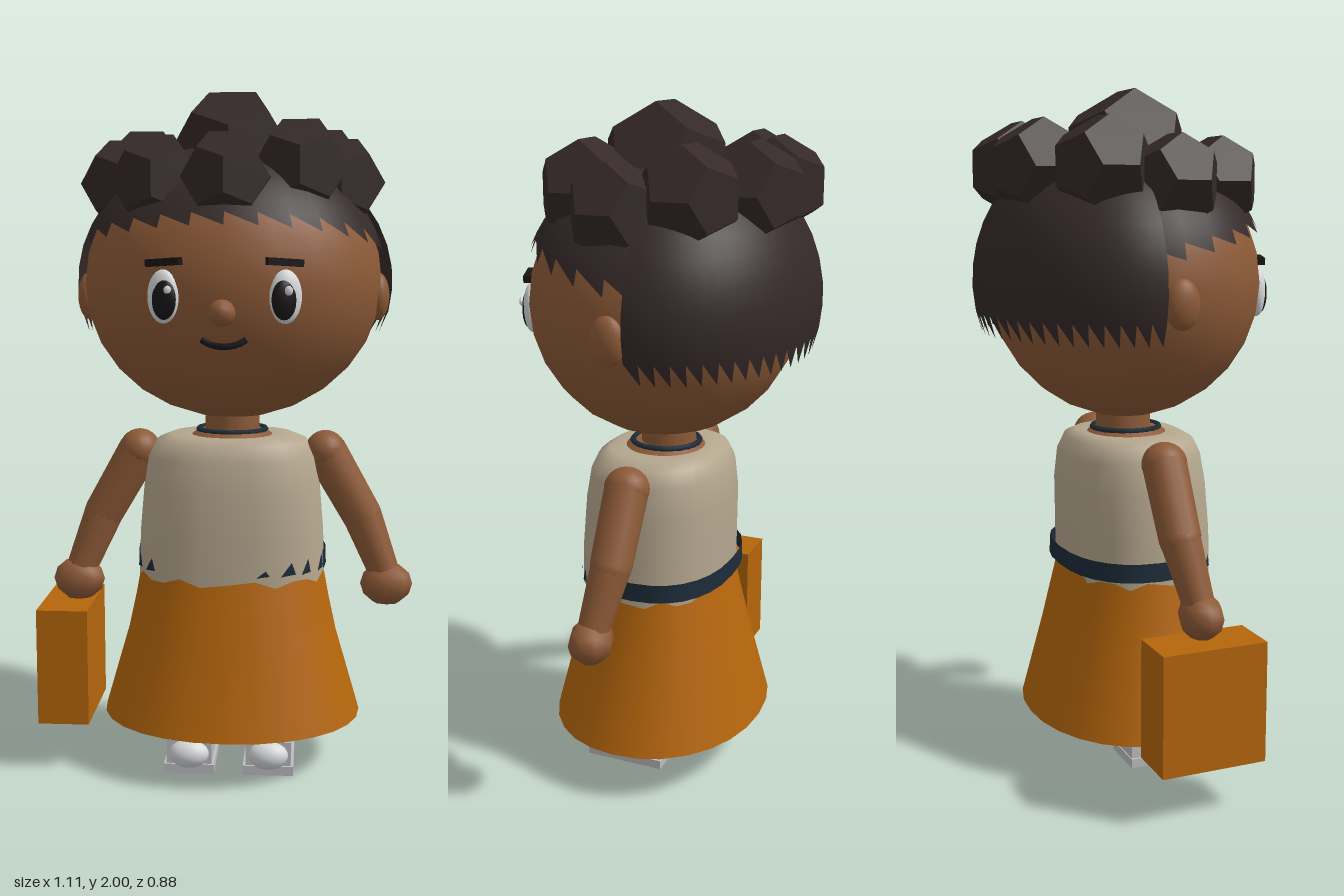
import * as THREE from 'three';

const mat = (name, color, side = THREE.FrontSide) => {
  const m = new THREE.MeshStandardMaterial({ color, side });
  m.name = name;
  return m;
};

// Stack of squarish rings [y, rx, rz, cz], listed from top to bottom
function loft(rings, power = 2, seg = 28, jag = 0) {
  const g = new THREE.CylinderGeometry(1, 1, 1, seg, rings.length - 1, true, Math.PI);
  const p = g.attributes.position;
  const e = 2 / power;
  for (let i = 0; i < p.count; i++) {
    const row = Math.floor(i / (seg + 1));
    const col = i % (seg + 1);
    const [y, rx, rz, cz] = rings[row];
    const x = p.getX(i), z = p.getZ(i);
    const dy = row === rings.length - 1 ? jag * Math.sin(col * 2.244) : 0;
    p.setXYZ(i, rx * Math.sign(x) * Math.abs(x) ** e, y + dy, cz + rz * Math.sign(z) * Math.abs(z) ** e);
  }
  g.computeVertexNormals();
  // Join the normals across the back seam
  const n = g.attributes.normal;
  for (let r = 0; r < rings.length; r++) {
    const a = r * (seg + 1), b = a + seg;
    const v = new THREE.Vector3().fromBufferAttribute(n, a).add(new THREE.Vector3().fromBufferAttribute(n, b)).normalize();
    n.setXYZ(a, v.x, v.y, v.z);
    n.setXYZ(b, v.x, v.y, v.z);
  }
  return g;
}

// Ellipsoid dome cut off below the plane y = a + b * z (measured from its centre)
function dome(rx, ry, rz, a, b, phiStart, phiLength) {
  const w = 28, h = 12;
  const g = new THREE.SphereGeometry(1, w, h, phiStart, phiLength);
  const p = g.attributes.position, n = g.attributes.normal;
  for (let i = 0; i < p.count; i++) {
    const phi = phiStart + phiLength * (i % (w + 1)) / w;
    const B = -b * rz * Math.sin(phi);
    const end = Math.atan2(B, ry) + Math.acos(a / Math.hypot(ry, B));
    const t = end * Math.floor(i / (w + 1)) / h;
    const v = [-Math.cos(phi) * Math.sin(t), Math.cos(t), Math.sin(phi) * Math.sin(t)];
    p.setXYZ(i, ...v);
    n.setXYZ(i, ...v);
  }
  return g.scale(rx, ry, rz);
}

export function createModel() {
  const skin = mat('skin brown', 0x8d5a37);
  const hair = mat('hair dark brown', 0x352929, THREE.DoubleSide);
  const cream = mat('shirt cream', 0xb5a78f, THREE.DoubleSide);
  const orange = mat('skirt orange', 0xb5660c, THREE.DoubleSide);
  const navy = mat('belt navy', 0x1d2c39, THREE.DoubleSide);
  const white = mat('eye white', 0xd6d8da);
  const grey = mat('shoe grey', 0xbdbdc2);
  const black = mat('pupil black', 0x1a1517);

  const model = new THREE.Group();
  const body = new THREE.Group();
  body.name = 'figure';
  body.position.x = 0.01;
  model.add(body);

  const add = (name, geo, material, pos = [0, 0, 0], scale = [1, 1, 1], rot = [0, 0, 0]) => {
    const m = new THREE.Mesh(geo, material);
    m.name = name;
    m.position.set(...pos);
    m.scale.set(...scale);
    m.rotation.set(...rot);
    body.add(m);
    return m;
  };
  const ball = new THREE.SphereGeometry(1, 20, 14);
  const limb = (name, a, b, ra, rb) => {
    const A = new THREE.Vector3(...a), B = new THREE.Vector3(...b);
    const m = add(name, new THREE.CylinderGeometry(rb, ra, A.distanceTo(B), 14), skin);
    m.position.copy(A).lerp(B, 0.5);
    m.quaternion.setFromUnitVectors(new THREE.Vector3(0, 1, 0), B.sub(A).normalize());
  };

  // Head
  const cy = 1.45;
  add('head', ball, skin, [0, cy, 0], [0.44, 0.4, 0.392]);
  add('nose', new THREE.SphereGeometry(0.037, 10, 8), skin, [-0.003, 1.378, 0.405]);
  const lips = new THREE.CatmullRomCurve3([
    [-0.06, 1.305, 0.368], [-0.035, 1.292, 0.374], [0, 1.287, 0.378], [0.035, 1.292, 0.374], [0.06, 1.305, 0.368],
  ].map(v => new THREE.Vector3(...v)));
  add('mouth', new THREE.TubeGeometry(lips, 12, 0.01, 6), black);
  for (const s of [-1, 1]) {
    add('ear', ball, skin, [s * 0.43, 1.41, -0.005], [0.033, 0.07, 0.05]);
    add('eye', ball, white, [s * 0.165, 1.42, 0.358], [0.046, 0.073, 0.026], [0, s * 0.35, 0]);
    add('pupil', ball, black, [s * 0.162, 1.413, 0.373], [0.036, 0.055, 0.018], [0, s * 0.35, 0]);
    add('eyeGlint', ball, white, [s * 0.162 + 0.012, 1.437, 0.388], [0.011, 0.013, 0.006]);
    add('eyebrow', new THREE.BoxGeometry(0.1, 0.02, 0.03), black, [s * 0.162, 1.512, 0.362], [1, 1, 1], [0, s * 0.36, -s * 0.06]);
  }

  // Hair: cap with a sloping hairline, longer back and faceted curls
  add('hairCap', dome(0.452, 0.41, 0.415, 0.077, 0.217, 0, Math.PI * 2), hair, [0, cy, 0]);
  add('hairBack', dome(0.475, 0.41, 0.372, -0.15, 0, Math.PI, Math.PI), hair, [0, cy, -0.065]);
  const curls = [
    [0, 1.82, 0.01, 0.19],
    [-0.095, 1.772, -0.29, 0.143], [0.1, 1.772, -0.29, 0.143],
    [-0.275, 1.772, -0.17, 0.143], [0.27, 1.772, -0.17, 0.143],
    [-0.31, 1.735, 0.025, 0.135], [0.315, 1.735, 0.025, 0.135],
    [-0.2, 1.735, 0.2, 0.135], [0.2, 1.772, 0.155, 0.143],
    [0, 1.74, 0.28, 0.13],
  ];
  for (const [x, y, z, r] of curls) {
    // The built-in dodecahedron is already faceted
    add('curl', new THREE.DodecahedronGeometry(r), hair, [x, y, z]);
  }

  // Neck and necklace
  add('neck', new THREE.CylinderGeometry(0.08, 0.085, 0.2, 18), skin, [0, 1.0, 0]);
  add('neckBase', new THREE.CylinderGeometry(0.1, 0.14, 0.03, 20), skin, [0, 1.0, 0.01]);
  add('necklace', new THREE.TorusGeometry(0.1, 0.009, 6, 24), navy, [0, 1.014, 0.008], [1, 1, 1], [Math.PI / 2, 0, 0]);

  // Shirt, belt and skirt
  add('shirt', loft([
    [1.0, 0.12, 0.1, 0.01], [1.003, 0.18, 0.15, 0.015], [0.985, 0.225, 0.18, 0.015], [0.94, 0.25, 0.2, 0.015],
    [0.85, 0.264, 0.212, 0.018], [0.72, 0.275, 0.215, 0.024], [0.59, 0.28, 0.215, 0.026],
  ], 2.4, 28, 0.012), cream);
  add('belt', loft([[0.66, 0.283, 0.208, 0.002], [0.605, 0.285, 0.21, 0.002]], 2.4), navy);
  add('skirt', loft([
    [0.605, 0.275, 0.206, 0.015], [0.5, 0.295, 0.232, 0.015], [0.4, 0.317, 0.256, 0.015], [0.15, 0.39, 0.32, 0.015],
  ], 2.1), orange);

  // Small torn patches of navy along the front hem: [angle, half angle, height]
  const onHem = (a, y) => {
    const f = t => Math.sign(t) * Math.abs(t) ** (2 / 2.4);
    return [0.284 * f(Math.sin(a)), y, 0.026 + 0.219 * f(Math.cos(a))];
  };
  const tri = [];
  for (const [a, h, up] of [[-1.2, 0.09, 0.045], [-0.9, 0.1, 0.04], [0.3, 0.07, 0.02], [0.6, 0.1, 0.04], [0.87, 0.08, 0.045], [1.2, 0.08, 0.05]]) {
    tri.push(...onHem(a - h, 0.612), ...onHem(a + h, 0.616), ...onHem(a + h * 0.4, 0.612 + up));
  }
  const patches = new THREE.BufferGeometry();
  patches.setAttribute('position', new THREE.Float32BufferAttribute(tri, 3));
  patches.computeVertexNormals();
  add('hemPatches', patches, navy);

  // Arms, legs and shoes
  for (const s of [-1, 1]) {
    const shoulder = [s * 0.28, 0.95, 0.012], elbow = [s * 0.392, 0.755, 0.012], wrist = [s * 0.46, 0.585, 0.038];
    add('shoulder', ball, skin, shoulder, [0.062, 0.062, 0.066]);
    limb('upperArm', shoulder, elbow, 0.064, 0.06);
    add('elbow', ball, skin, elbow, [0.059, 0.059, 0.059]);
    limb('forearm', elbow, wrist, 0.059, 0.046);
    add('hand', new THREE.SphereGeometry(1, 8, 6), skin, [s * 0.466, 0.553, 0.042], [0.078, 0.066, 0.064]);

    const x = s * 0.118;
    add('leg', new THREE.CylinderGeometry(0.07, 0.064, 0.5, 16), skin, [x, 0.3, 0.015]);
    add('shoe', new THREE.BoxGeometry(0.135, 0.075, 0.235), grey, [x, 0.0625, 0.07]);
    add('shoeSole', new THREE.BoxGeometry(0.15, 0.028, 0.245), grey, [x, 0.014, 0.072]);
    add('toeCap', ball, white, [x, 0.06, 0.185], [0.06, 0.043, 0.043]);
  }

  // Bag carried at the right hand
  add('bag', new THREE.BoxGeometry(0.152, 0.348, 0.312), orange, [-0.493, 0.318, 0.04]);

  return model;
}
